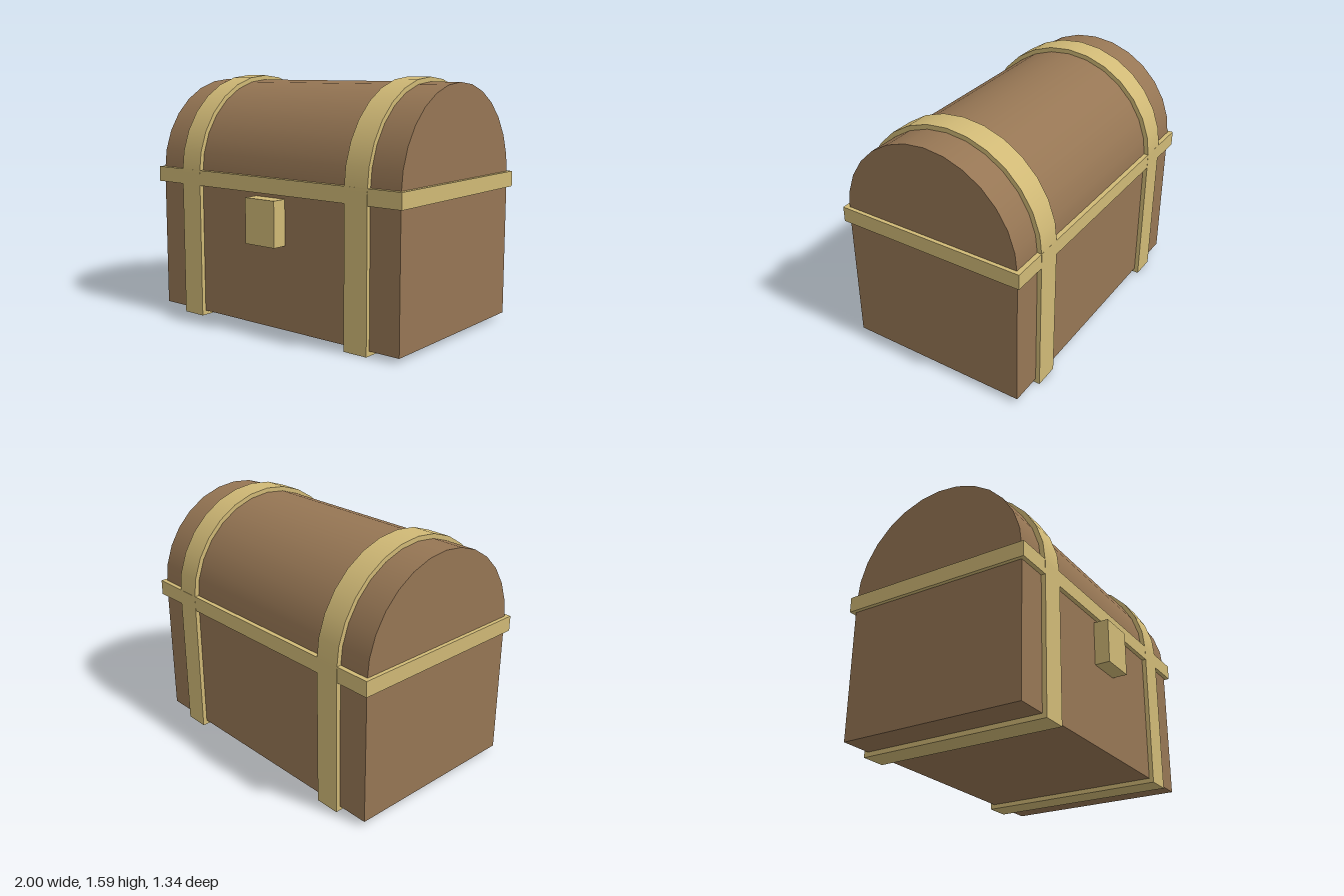
import * as THREE from 'three';

const MID_Z = -0.034; // centre of the chest's depth; the lock fills out the front
const HINGE_Y = 0.957; // height where the arched lid begins

export function createModel() {
  const wood = new THREE.MeshStandardMaterial({ color: 0x967654 });
  wood.name = 'brown wood';
  const brass = new THREE.MeshStandardMaterial({ color: 0xd0b976 });
  brass.name = 'pale brass';

  const chest = new THREE.Group();
  chest.name = 'treasureChest';

  const add = (name, geometry, material, x, y, z) => {
    const mesh = new THREE.Mesh(geometry, material);
    mesh.name = name;
    mesh.position.set(x, y, z);
    chest.add(mesh);
  };

  // Block spanning a range of heights
  const block = (name, material, width, y0, y1, depth, x = 0, z = MID_Z) =>
    add(name, new THREE.BoxGeometry(width, y1 - y0, depth), material, x, (y0 + y1) / 2, z);

  // Half barrel lying along x, its flat side resting on the hinge line
  const arch = (name, material, width, radius, x = 0) => {
    const geometry = new THREE.CylinderGeometry(radius, radius, width, 14, 1, false, 0, Math.PI);
    geometry.rotateZ(Math.PI / 2);
    add(name, geometry, material, x, HINGE_Y, MID_Z);
  };

  // Wooden box and lid
  block('body', wood, 1.95, 0.03, HINGE_Y, 1.215);
  arch('lid', wood, 1.95, 0.6075);

  // Rim around the opening
  block('rim', brass, 2, 0.88, 0.98, 1.27);

  // Bands wrapping the whole chest
  for (const side of [-1, 1]) {
    const label = side > 0 ? 'left' : 'right';
    block(label + 'BodyBand', brass, 0.165, 0, HINGE_Y, 1.272, side * 0.683);
    arch(label + 'LidBand', brass, 0.165, 0.637, side * 0.683);
  }

  // Lock, from the front wall outwards
  block('lock', brass, 0.24, 0.565, 0.855, 0.13, 0, 0.607);

  return chest;
}
